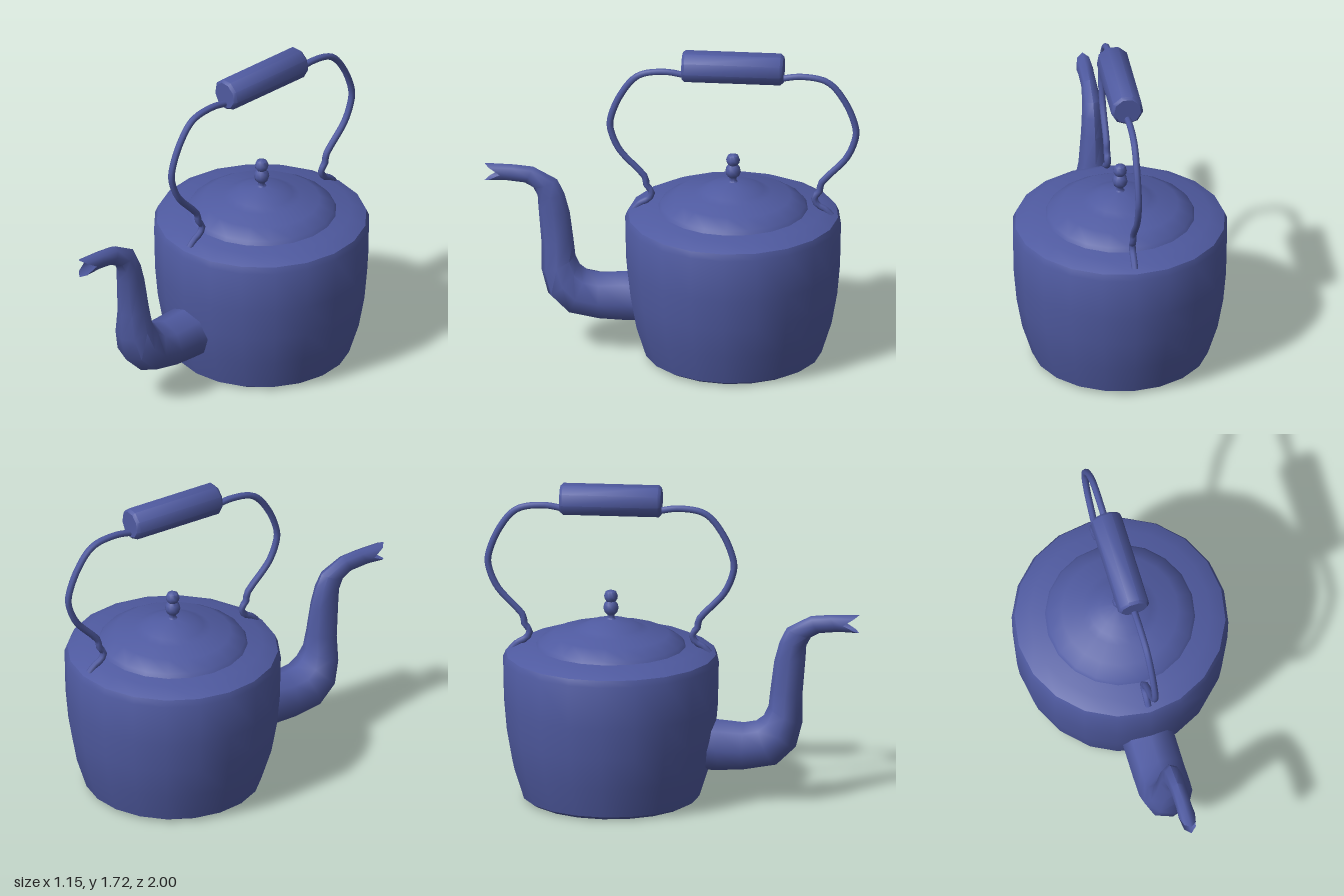
import * as THREE from 'three';
import { toCreasedNormals } from 'three/addons/utils/BufferGeometryUtils.js';

const AXIS_Z = -0.325; // vertical axis of the kettle body
const material = new THREE.MeshStandardMaterial({ color: 0x4f5aa0, side: THREE.DoubleSide });

function part(name, geometry) {
  const mesh = new THREE.Mesh(geometry, material);
  mesh.name = name;
  return mesh;
}

function lathe(name, profile, sides, crease = 0.6) {
  const points = profile.map(([r, y]) => new THREE.Vector2(r, y));
  const mesh = part(name, toCreasedNormals(new THREE.LatheGeometry(points, sides), crease));
  mesh.position.z = AXIS_Z;
  return mesh;
}

// Curved spout: each section spans two opposite points in the side plane,
// [innerZ, innerY, outerZ, outerY, halfWidth].
function spoutGeometry() {
  const sections = [
    [0.12, 0.45, 0.12, 0.165, 0.14],
    [0.25, 0.445, 0.25, 0.165, 0.14],
    [0.385, 0.433, 0.38, 0.172, 0.14],
    [0.45, 0.445, 0.555, 0.203, 0.14],
    [0.49, 0.475, 0.66, 0.305, 0.132],
    [0.515, 0.53, 0.695, 0.44, 0.105],
    [0.525, 0.62, 0.695, 0.59, 0.08],
    [0.545, 0.775, 0.712, 0.8, 0.063],
    [0.573, 0.88, 0.716, 0.865, 0.057],
    [0.612, 0.96, 0.74, 0.91, 0.05],
    [0.74, 1.028, 0.785, 0.935, 0.042],
    [0.84, 1.037, 0.89, 0.945, 0.042],
    [1.0, 1.04, 1.0, 0.94, 0.045],
  ];
  const sides = 8;
  const positions = [];
  const index = [];
  sections.forEach(([iz, iy, oz, oy, w], s) => {
    for (let j = 0; j < sides; j++) {
      const a = (j / sides) * Math.PI * 2;
      const c = Math.cos(a);
      // the lip is notched back at both sides of the opening
      const notch = s === sections.length - 1 ? 0.085 * (1 - Math.abs(c)) : 0;
      positions.push(
        w * Math.sin(a),
        (iy + oy) / 2 + ((iy - oy) / 2) * c,
        (iz + oz) / 2 + ((iz - oz) / 2) * c - notch
      );
      if (s < sections.length - 1) {
        const k = (j + 1) % sides;
        const p = s * sides, q = p + sides;
        index.push(p + j, q + j, p + k, q + j, q + k, p + k);
      }
    }
  });
  const geometry = new THREE.BufferGeometry();
  geometry.setAttribute('position', new THREE.Float32BufferAttribute(positions, 3));
  geometry.setIndex(index);
  geometry.computeVertexNormals();
  return toCreasedNormals(geometry, 0.9);
}

// One bent wire arm, from its foot on the shoulder up into the grip
function armGeometry(mirrored) {
  const path = [
    [0.2, 0.81], [0.17, 0.842], [0.122, 0.872], [0.108, 0.91], [0.135, 0.945],
    [0.143, 0.99], [0.17, 1.025], [0.28, 1.145], [0.325, 1.25], [0.33, 1.31],
    [0.275, 1.46], [0.18, 1.575], [0.04, 1.602], [-0.08, 1.585],
  ];
  const points = path.map(([z, y]) => new THREE.Vector3(0, y, mirrored ? 2 * AXIS_Z - z : z));
  const curve = new THREE.CatmullRomCurve3(points, false, 'centripetal');
  return new THREE.TubeGeometry(curve, 44, 0.018, 8, false);
}

export function createModel() {
  const kettle = new THREE.Group();
  kettle.name = 'kettle';

  // Tapered pot with rounded shoulder
  kettle.add(lathe('body', [
    [0, 0.003], [0.44, 0.003], [0.472, 0.022], [0.525, 0.19], [0.555, 0.36],
    [0.57, 0.53], [0.575, 0.765], [0.56, 0.8], [0.48, 0.84], [0, 0.842],
  ], 20));

  // Domed lid
  kettle.add(lathe('lid', [
    [0.4, 0.838], [0.385, 0.86], [0.31, 0.905], [0.205, 0.925],
    [0.165, 0.942], [0.115, 0.967], [0.03, 0.985], [0, 0.986],
  ], 20));

  // Turned knob: neck, bulb and ball
  kettle.add(lathe('lidKnob', [
    [0.03, 0.98], [0.019, 0.992], [0.019, 1.008], [0.034, 1.022], [0.041, 1.045],
    [0.036, 1.068], [0.025, 1.082], [0.034, 1.095], [0.037, 1.112],
    [0.028, 1.135], [0, 1.146],
  ], 10, 0.9));

  kettle.add(part('spout', spoutGeometry()));

  // Bail handle
  const handle = new THREE.Group();
  handle.name = 'handle';
  handle.add(part('frontArm', armGeometry(false)), part('backArm', armGeometry(true)));
  const grip = lathe('grip', [
    [0, -0.27], [0.073, -0.27], [0.087, -0.255], [0.087, 0.255], [0.073, 0.27], [0, 0.27],
  ], 9, 0.75);
  grip.rotation.x = Math.PI / 2;
  grip.position.y = 1.638;
  handle.add(grip);
  kettle.add(handle);

  return kettle;
}
